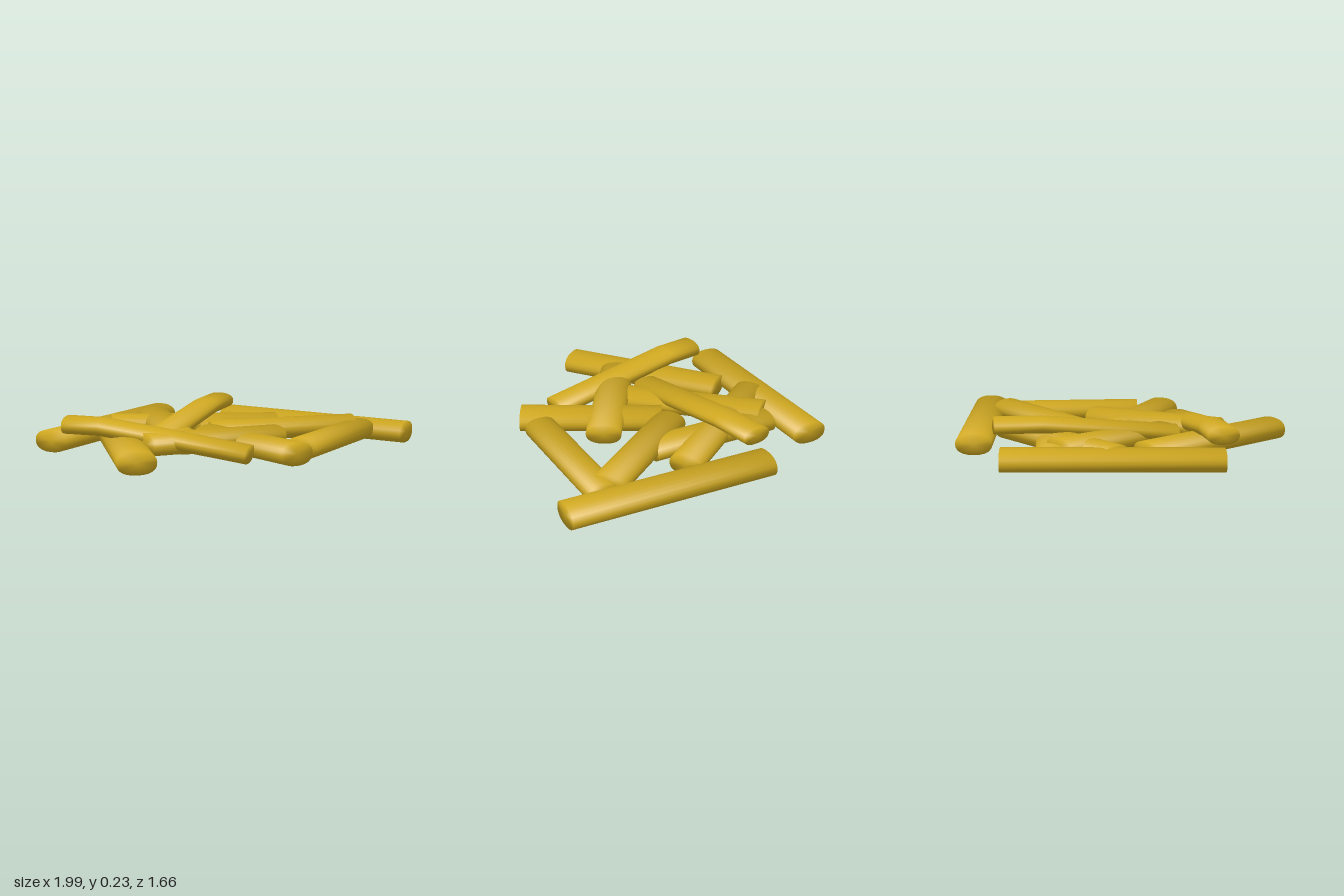
import * as THREE from 'three';

const SIDES = 24;
const material = new THREE.MeshStandardMaterial({ color: 0xcfa820 });

// A flattened stick: oval rings swept along a path, closed at both ends
function stick(name, path, halfWidth = 0.1, halfHeight = 0.06) {
  const points = path.map((p) => new THREE.Vector3(...p));
  const last = points.length - 1;
  const up = new THREE.Vector3(0, 1, 0);
  const position = [], normal = [], index = [];

  points.forEach((p, i) => {
    const axis = points[Math.min(i + 1, last)].clone().sub(points[Math.max(i - 1, 0)]).normalize();
    const side = new THREE.Vector3().crossVectors(up, axis).normalize();
    const top = new THREE.Vector3().crossVectors(axis, side);
    const lean = i === 0 ? -0.6 : i === last ? 0.6 : 0; // soft shading at the cut ends
    for (let j = 0; j < SIDES; j++) {
      const a = (j / SIDES) * Math.PI * 2;
      const c = Math.sign(Math.cos(a)) * Math.abs(Math.cos(a)) ** 0.85;
      const s = Math.sign(Math.sin(a)) * Math.abs(Math.sin(a)) ** 0.85;
      const v = p.clone().addScaledVector(side, c * halfWidth).addScaledVector(top, s * halfHeight);
      const n = side.clone().multiplyScalar(c / halfWidth).addScaledVector(top, s / halfHeight)
        .normalize().addScaledVector(axis, lean).normalize();
      position.push(v.x, v.y, v.z);
      normal.push(n.x, n.y, n.z);
      if (i < last) {
        const k = i * SIDES + j, m = i * SIDES + ((j + 1) % SIDES);
        index.push(k, m, k + SIDES, m, m + SIDES, k + SIDES);
      }
    }
  });

  // End caps
  for (const [i, sign] of [[0, -1], [last, 1]]) {
    const axis = points[i ? last : 1].clone().sub(points[i ? last - 1 : 0]).normalize().multiplyScalar(sign);
    const centre = position.length / 3;
    position.push(points[i].x, points[i].y, points[i].z);
    normal.push(axis.x, axis.y, axis.z);
    for (let j = 0; j < SIDES; j++) {
      const k = i * SIDES + j, m = i * SIDES + ((j + 1) % SIDES);
      if (sign > 0) index.push(centre, k, m);
      else index.push(centre, m, k);
    }
  }

  const geometry = new THREE.BufferGeometry();
  geometry.setAttribute('position', new THREE.Float32BufferAttribute(position, 3));
  geometry.setAttribute('normal', new THREE.Float32BufferAttribute(normal, 3));
  geometry.setIndex(index);
  const mesh = new THREE.Mesh(geometry, material);
  mesh.name = name;
  return mesh;
}

export function createModel() {
  const group = new THREE.Group();
  group.name = 'stickPile';
  group.add(
    // Outer ring of sticks lying on the ground
    stick('backStick', [[-0.835, 0.085, -0.36], [0.25, 0.087, -0.745]]),
    stick('rightStick', [[0.53, 0.082, -0.45], [0.9, 0.067, 0.64]]),
    stick('frontRightStick', [[-0.03, 0.09, 0.71], [0.745, 0.08, 0.43]], 0.088, 0.058),
    stick('frontStick', [[-0.16, 0.09, 0.81], [-0.06, 0.08, 0.03]]),
    stick('farLeftStick', [[-0.91, 0.09, 0.463], [-0.41, 0.085, -0.35]]),
    // Inner sticks
    stick('centreRightStick', [[0, 0.09, -0.01], [0.7, 0.105, 0.41]], 0.093, 0.058),
    stick('crossStick', [[-0.65, 0.118, 0.215], [0.13, 0.1, 0.375]], 0.098, 0.058),
    stick('innerBackStick', [[-0.3, 0.1, -0.525], [0.51, 0.085, -0.015]], 0.09, 0.058),
    stick('innerRightStick', [[0.03, 0.08, -0.55], [0.3, 0.08, 0.14]], 0.095, 0.055),
    stick('innerLeftStick', [[0.01, 0.115, -0.53], [-0.36, 0.085, 0.2]], 0.1, 0.055),
    // Bent sticks draped over the others
    stick('upperLeftStick', [[-0.8, 0.185, -0.255], [-0.7, 0.183, -0.08], [-0.53, 0.14, 0.21], [-0.3, 0.078, 0.61]], 0.086, 0.048),
    stick('upperStick', [[-0.455, 0.11, 0.07], [0.2, 0.182, -0.285], [0.43, 0.185, -0.41]], 0.085, 0.045),
  );
  return group;
}
